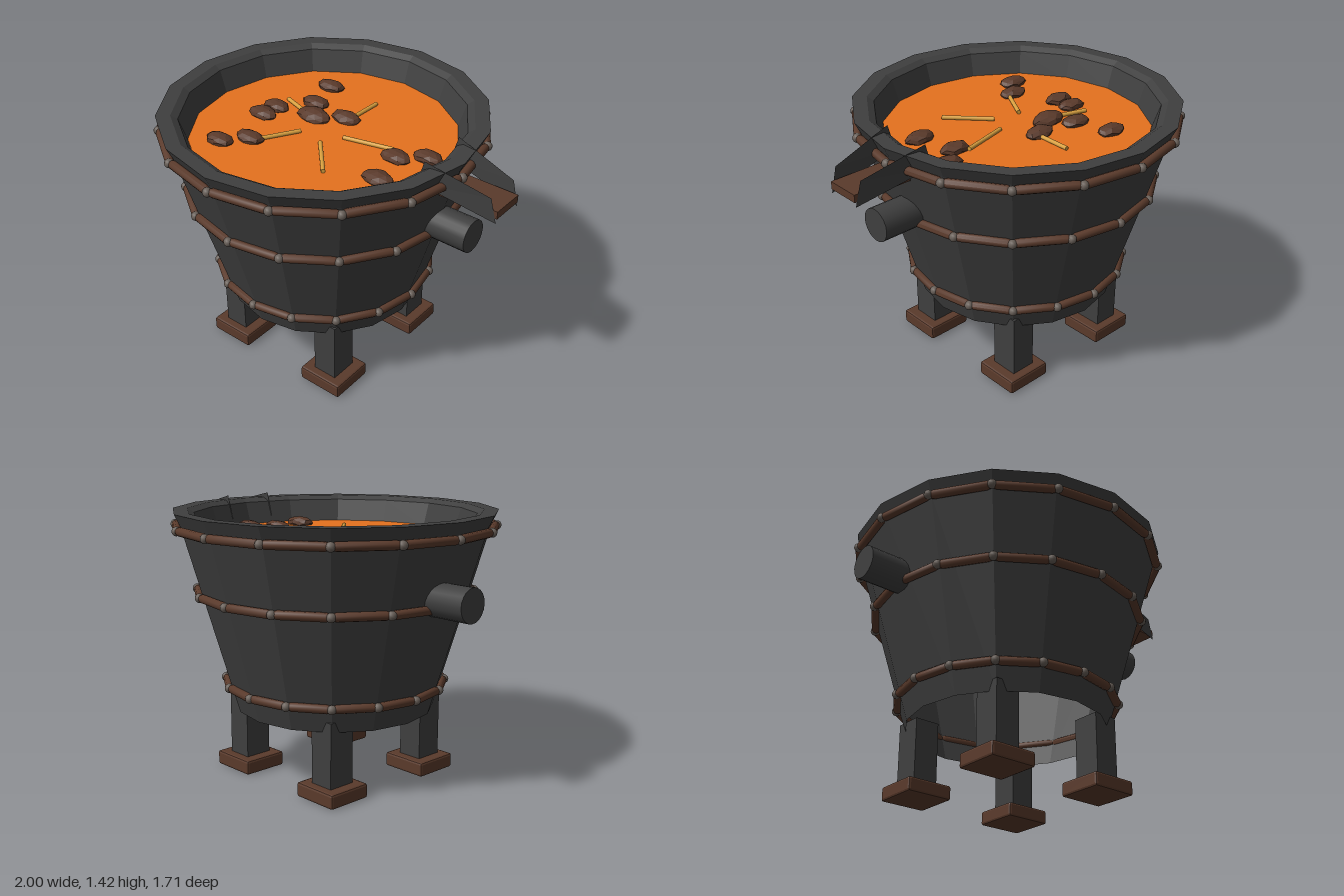
import * as THREE from 'three';
import { toCreasedNormals } from 'three/addons/utils/BufferGeometryUtils.js';
import { RoundedBoxGeometry } from 'three/addons/geometries/RoundedBoxGeometry.js';

const CX = -0.085; // axis of the vessel
const SIDES = 16;
const SOUP_Y = 1.258;

const mat = (name, color, side = THREE.FrontSide) =>
  Object.assign(new THREE.MeshStandardMaterial({ color, side }), { name });

// One normal per face
function flat(geometry) {
  const g = geometry.index ? geometry.toNonIndexed() : geometry;
  g.computeVertexNormals();
  return g;
}

export function createModel() {
  const iron = mat('dark iron', 0x3f3f3f, THREE.DoubleSide);
  const rust = mat('rusty brown', 0x5a3a2b);
  const rivetGrey = mat('rivet grey', 0x685f58);
  const soupOrange = mat('orange liquid', 0xe6721e);
  const straw = mat('straw yellow', 0xd8a040);

  const root = new THREE.Group();
  root.name = 'cauldron';

  const add = (name, geometry, material, x = 0, y = 0, z = 0, parent = root) => {
    const m = new THREE.Mesh(geometry, material);
    m.name = name;
    m.position.set(x, y, z);
    parent.add(m);
    return m;
  };

  // Place a part built along y between two points
  const up = new THREE.Vector3(0, 1, 0);
  const span = (name, geometry, material, a, b, parent) => {
    const c = a.clone().add(b).multiplyScalar(0.5);
    const m = add(name, geometry, material, c.x, c.y, c.z, parent);
    m.quaternion.setFromUnitVectors(up, b.clone().sub(a).normalize());
  };

  // Round bar with narrowed ends
  const barGeometry = (length, r, taper) => {
    const h = length / 2;
    const profile = [[0, -h], [r * 0.7, -h], [r, -h + taper], [r, h - taper], [r * 0.7, h], [0, h]]
      .map(p => new THREE.Vector2(...p));
    return toCreasedNormals(new THREE.LatheGeometry(profile, 10), 0.9);
  };

  // Open-bottomed faceted vessel with flared rim and inner lip
  const wall = [[0.525, 0.36], [0.81, 1.335], [0.84, 1.397], [0.765, 1.397], [0.73, 1.375], [0.688, 1.245]]
    .map(p => new THREE.Vector2(...p));
  add('vessel', flat(new THREE.LatheGeometry(wall, SIDES)), iron, CX);

  // Liquid, a thin slab closed on both sides
  add('liquid', flat(new THREE.CylinderGeometry(0.69, 0.69, 0.02, SIDES)), soupOrange, CX, SOUP_Y - 0.01, 0);

  // Hoops (height, radius) of straight bars joined by rivets
  for (const [y, r] of [[0.494, 0.576], [0.976, 0.719], [1.315, 0.825]]) {
    const hoop = new THREE.Group();
    hoop.name = 'hoop';
    root.add(hoop);
    const at = (i, radius) => {
      const a = (i / SIDES) * Math.PI * 2;
      return new THREE.Vector3(CX + Math.sin(a) * radius, y, Math.cos(a) * radius);
    };
    const barShape = barGeometry(at(0, r).distanceTo(at(1, r)), 0.023, 0.025);
    const rivetShape = new THREE.SphereGeometry(0.024, 10, 8);
    for (let i = 0; i < SIDES; i++) {
      const p = at(i, r + 0.006);
      span('hoopBar', barShape, rust, at(i, r), at(i + 1, r), hoop);
      add('rivet', rivetShape, rivetGrey, p.x, p.y, p.z, hoop);
    }
  }

  // Trunnions, legs and feet
  for (const sx of [-1, 1]) {
    const pin = new THREE.CylinderGeometry(0.086, 0.086, 0.3, 20);
    pin.rotateZ(Math.PI / 2);
    add('trunnion', pin, iron, CX + sx * 0.766, 1.02, 0);
    for (const sz of [-1, 1]) {
      const x = CX + sx * 0.323, z = sz * 0.324;
      add('leg', new THREE.BoxGeometry(0.137, 0.36, 0.15), iron, x, 0.235, z);
      add('foot', flat(new RoundedBoxGeometry(0.257, 0.077, 0.248, 1, 0.012)), rust, x, 0.0385, z);
    }
  }

  // Pouring spout: level board between two slanting cheek plates
  add('spoutBoard', new THREE.BoxGeometry(0.345, 0.04, 0.18), rust, 0.8225, 1.258, 0);
  for (const s of [-1, 1]) {
    const corners = [[0.588, 1.295, 0.14], [0.993, 1.215, 0.093], [0.96, 1.34, 0.096], [0.625, 1.425, 0.142]];
    const g = new THREE.BufferGeometry();
    g.setAttribute('position', new THREE.Float32BufferAttribute(
      corners.flatMap(([x, y, z]) => [x, y, z * s]), 3));
    g.setIndex(s > 0 ? [0, 1, 2, 0, 2, 3] : [0, 2, 1, 0, 3, 2]);
    add('spoutCheek', flat(g), iron);
  }

  // Floating lumps: x, z, scale
  const lumps = [
    [-0.365, -0.395, 1], [-0.31, -0.2, 1], [-0.445, -0.04, 0.95], [-0.45, 0.06, 1],
    [-0.225, -0.085, 1.2], [-0.08, -0.17, 1.05], [-0.33, 0.29, 1], [-0.435, 0.4, 1],
    [0.475, -0.115, 1], [0.35, -0.02, 1], [0.4, 0.19, 1.05],
  ];
  lumps.forEach(([x, z, s], i) => {
    const g = new THREE.IcosahedronGeometry(1, 1);
    const p = g.attributes.position;
    const v = new THREE.Vector3();
    // Uneven surface
    for (let k = 0; k < p.count; k++) {
      v.fromBufferAttribute(p, k);
      v.multiplyScalar(1 + 0.07 * Math.sin(5 * v.x + 3 * v.y + 4 * v.z + i));
      p.setXYZ(k, v.x, v.y, v.z);
    }
    g.scale(0.081 * s, 0.032 * s, 0.053 * s);
    add('lump', flat(g), rust, x, SOUP_Y + 0.01, z);
  });

  // Floating straws: start x, z, end x, z
  const straws = [
    [-0.05, -0.39, -0.055, -0.2], [-0.45, -0.14, -0.28, -0.085], [0.035, -0.005, 0.3, -0.07],
    [-0.175, 0.08, -0.285, 0.27], [-0.025, 0.105, 0.16, 0.305],
  ];
  for (const [x1, z1, x2, z2] of straws) {
    const a = new THREE.Vector3(x1, SOUP_Y + 0.01, z1), b = new THREE.Vector3(x2, SOUP_Y + 0.01, z2);
    span('straw', new THREE.CylinderGeometry(0.011, 0.011, a.distanceTo(b), 12), straw, a, b, root);
  }

  return root;
}
